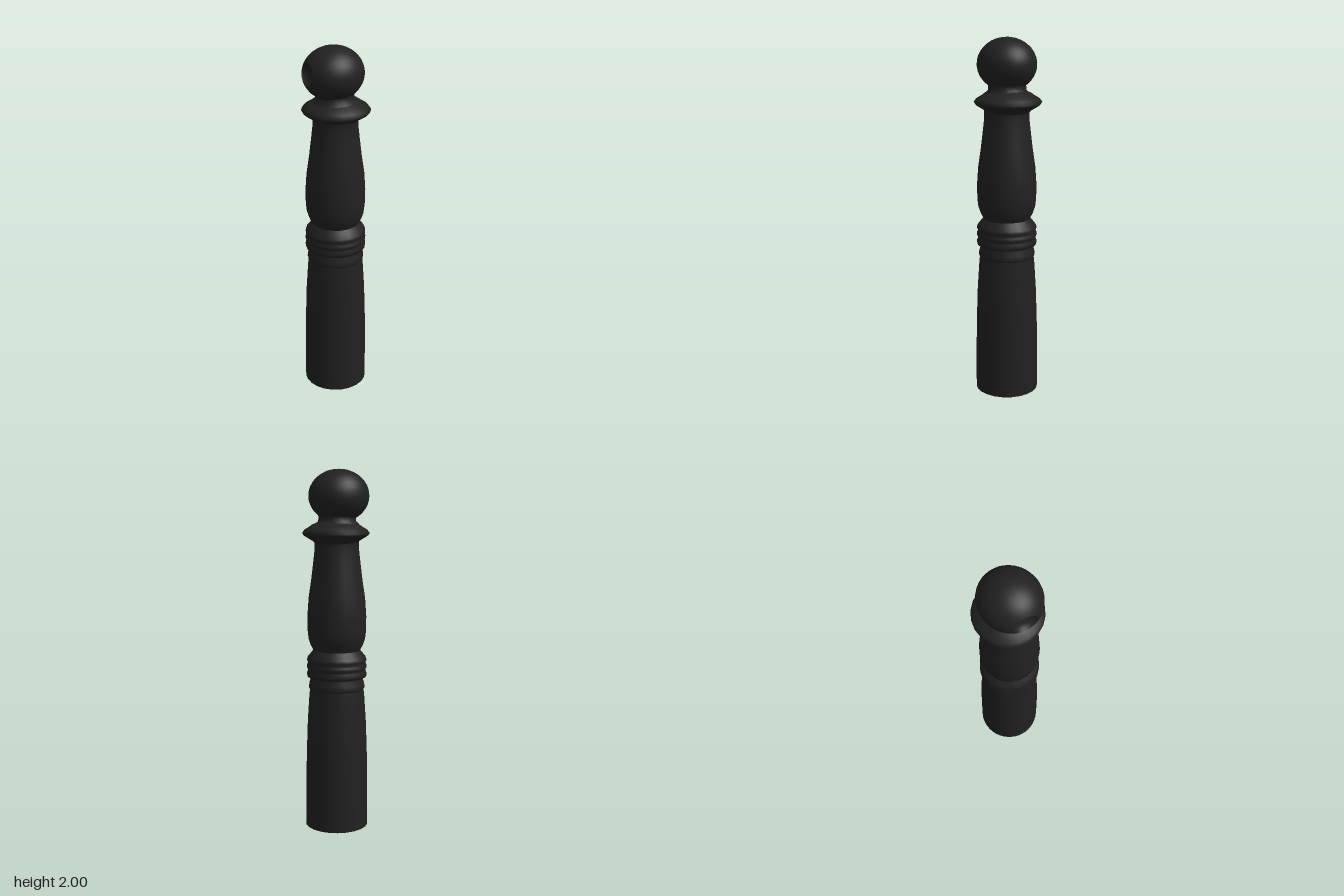
import * as THREE from 'three';

const charcoal = new THREE.MeshStandardMaterial({ color: 0x212121, side: THREE.DoubleSide });
charcoal.name = 'charcoal';

// A turned part from [radius, height] pairs, bottom to top
function turned(name, points, x, z, segments = 22) {
  const profile = points.map(([r, y]) => new THREE.Vector2(r, y));
  const mesh = new THREE.Mesh(new THREE.LatheGeometry(profile, segments), charcoal);
  mesh.name = name;
  mesh.position.set(x, 0, z);
  return mesh;
}

export function createModel() {
  const post = new THREE.Group();
  post.name = 'newelPost';
  const cx = -0.008, cz = 0.003;

  // Tapered lower shaft with a closed foot
  post.add(turned('lowerShaft', [
    [0.176, 0], [0.175, 0.2], [0.172, 0.4], [0.165, 0.6], [0.155, 0.75], [0.151, 0.79],
  ], cx, cz));
  const foot = new THREE.Mesh(new THREE.CircleGeometry(0.176, 22), charcoal);
  foot.name = 'foot';
  foot.rotation.x = Math.PI / 2;
  foot.position.set(cx, 0.001, cz);
  post.add(foot);

  // Stacked bead rings at the waist
  post.add(turned('waistRings', [
    [0.150, 0.79], [0.157, 0.80], [0.154, 0.825], [0.145, 0.85], [0.146, 0.86],
    [0.165, 0.862], [0.168, 0.88], [0.161, 0.895], [0.161, 0.905], [0.168, 0.915],
    [0.166, 0.93], [0.158, 0.94], [0.167, 0.955], [0.163, 0.97], [0.146, 0.99], [0.13, 1.01],
  ], cx, cz));

  // Vase-shaped upper shaft
  post.add(turned('upperShaft', [
    [0.13, 1.01], [0.146, 1.04], [0.158, 1.075], [0.163, 1.12], [0.164, 1.2],
    [0.157, 1.3], [0.142, 1.4], [0.130, 1.5], [0.122, 1.57], [0.122, 1.61], [0.13, 1.63],
  ], cx, cz));

  // Flared collar
  post.add(turned('collar', [
    [0.115, 1.60], [0.13, 1.615], [0.160, 1.633], [0.178, 1.645], [0.185, 1.657],
    [0.172, 1.675], [0.146, 1.69], [0.130, 1.702], [0.110, 1.71], [0.095, 1.72],
  ], 0, 0));

  // Neck below the ball
  post.add(turned('neck', [
    [0.12, 1.705], [0.104, 1.72], [0.102, 1.745], [0.11, 1.765], [0.12, 1.78],
  ], cx, 0));

  // Ball turned about the axis of its hollow, so the cup is part of the profile
  const R = 0.16, rim = 0.42, profile = [];
  for (let i = 0; i <= 20; i++) {
    const a = Math.PI - (Math.PI - rim) * i / 20;
    profile.push(new THREE.Vector2(R * Math.sin(a), R * Math.cos(a)));
  }
  const ballGeo = new THREE.LatheGeometry(profile, 32);
  const rimR = R * Math.sin(rim), rimY = R * Math.cos(rim);
  const cupGeo = new THREE.LatheGeometry([
    [rimR, rimY], [rimR * 0.88, rimY - 0.014], [rimR * 0.6, rimY - 0.024],
    [rimR * 0.3, rimY - 0.028], [0, rimY - 0.03],
  ].map(([r, y]) => new THREE.Vector2(r, y)), 32);
  const axis = new THREE.Vector3(-0.95, 0.1, -0.28).normalize();
  const turn = new THREE.Quaternion().setFromUnitVectors(new THREE.Vector3(0, 1, 0), axis);
  for (const [name, geo] of [['ball', ballGeo], ['ballHollow', cupGeo]]) {
    geo.applyQuaternion(turn);
    geo.scale(1.05, 0.9, 1);
    const mesh = new THREE.Mesh(geo, charcoal);
    mesh.name = name;
    mesh.position.set(-0.017, 1.856, -0.004);
    post.add(mesh);
  }
  return post;
}
